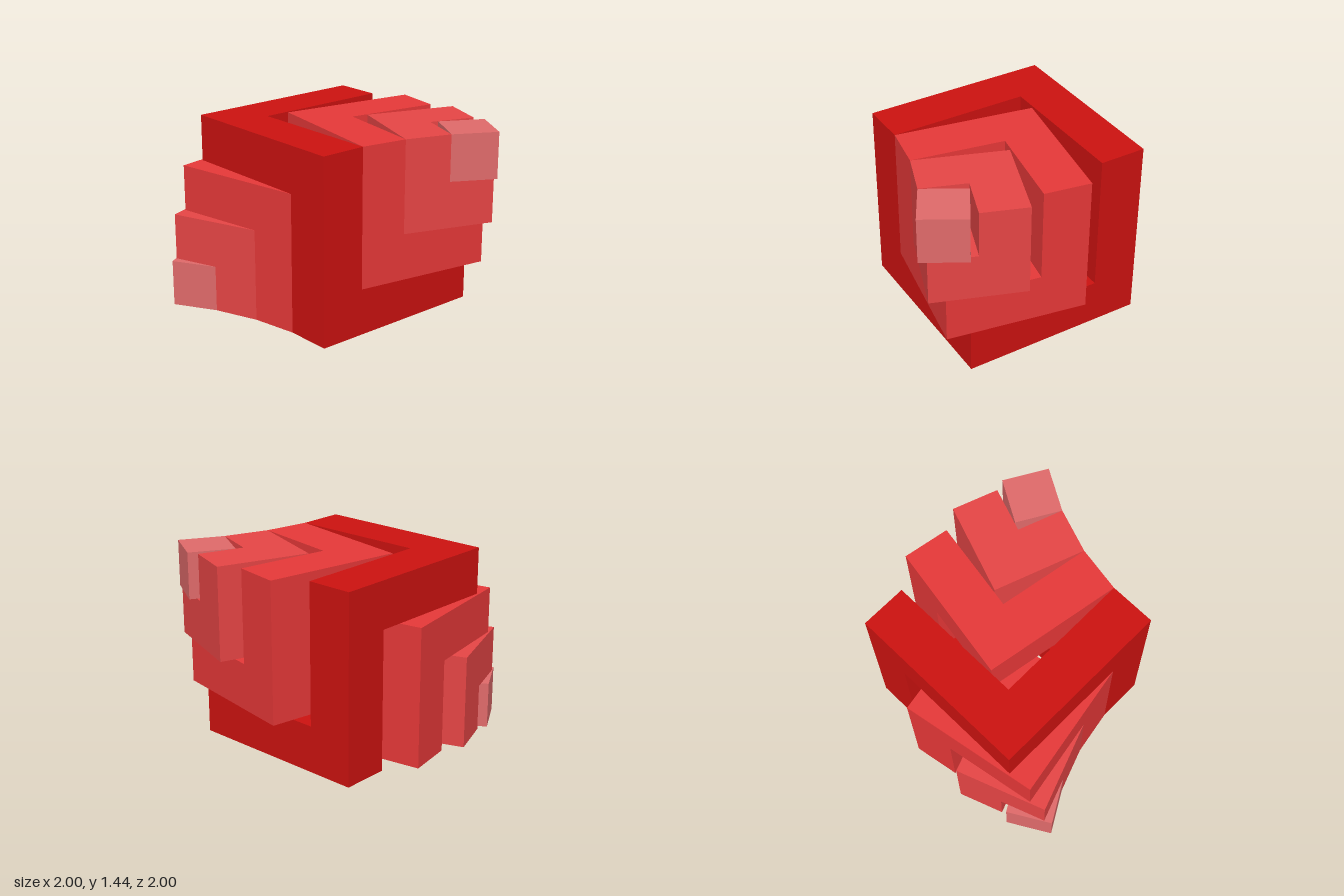
import * as THREE from 'three';

const U = 0.3588;                       // side of one cell
const TWIST = THREE.MathUtils.degToRad(10);
const MATERIALS = [0xcc1210, 0xe63838, 0xe64545, 0xe06a6a].map(
  (color) => new THREE.MeshStandardMaterial({ color }));

// Beam measured in cells: x to the right, y up, d backwards from the hinge corner
function beam(name, material, [x, y, d], [w, h, l]) {
  const mesh = new THREE.Mesh(new THREE.BoxGeometry(w * U, h * U, l * U), material);
  mesh.position.set((x + w / 2) * U, (y + h / 2) * U, -(d + l / 2) * U);
  mesh.name = name;
  return mesh;
}

// Closed ring of beams along six edges of a cube of n cells;
// "reversed" swaps which beam owns each corner
function ring(n, material, reversed) {
  const g = new THREE.Group();
  const m = n - 1;
  const a = reversed ? 1 : 0, b = 1 - a;
  const add = (...args) => g.add(beam(args[0], material, args[1], args[2]));
  if (n === 1) {
    add('endCube', [0, 0, 0], [1, 1, 1]);
  } else if (n === 2) {
    add('frontLeftPost', [0, 0, 0], [1, 2, 1]);
    add('bottomRightBeam', [1, 0, 0], [1, 1, 2]);
    add('topBackBeam', [0, 1, 1], [2, 1, 1]);
  } else {
    add('frontLeftPost', [0, b, 0], [1, m, 1]);
    add('bottomFrontBeam', [a, 0, 0], [m, 1, 1]);
    add('bottomRightBeam', [m, 0, a], [1, 1, m]);
    add('backRightPost', [m, a, m], [1, m, 1]);
    add('topBackBeam', [b, m, m], [m, 1, 1]);
    add('topLeftBeam', [0, m, b], [1, 1, m]);
  }
  return g;
}

export function createModel() {
  const model = new THREE.Group();
  model.name = 'twistedCubeSculpture';

  // Outer frame
  const frame = ring(4, MATERIALS[0], false);
  frame.name = 'outerFrame';
  frame.position.set(-0.637, 0, 0.637);
  model.add(frame);

  // Two chains of shrinking rings, each hinged on the one before:
  // one climbs out of the front, the other sinks out of the back
  for (const front of [true, false]) {
    let parent = frame;
    for (let k = 1; k <= 3; k++) {
      const g = ring(4 - k, MATERIALS[k], !front);
      g.name = (front ? 'frontRing' : 'backRing') + k;
      if (front) g.position.set(U, U, 0);
      else g.position.set(0, 0, -U);
      g.rotation.y = front ? -TWIST : TWIST;
      parent.add(g);
      parent = g;
    }
  }
  return model;
}
